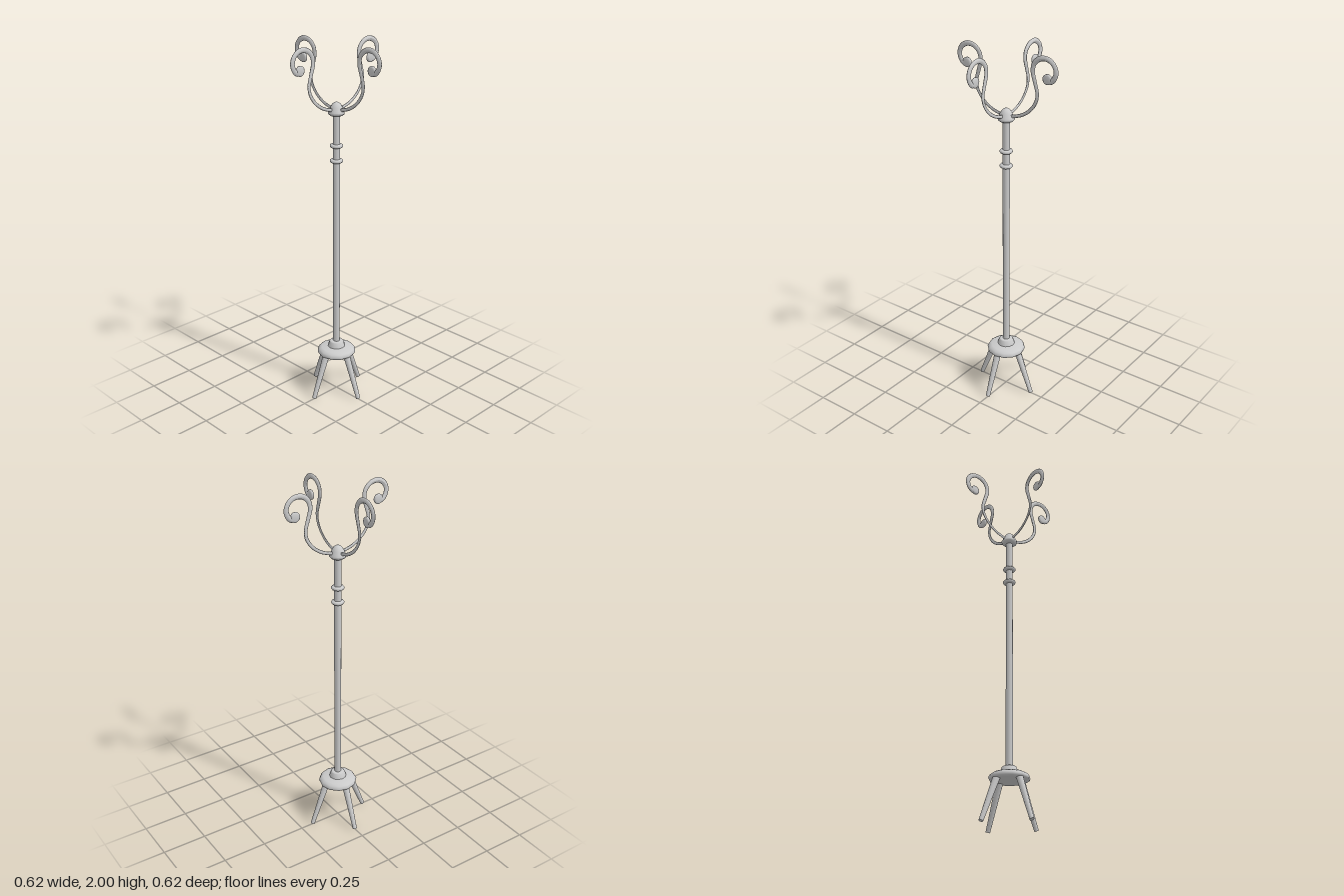
import * as THREE from 'three';

const material = new THREE.MeshStandardMaterial({ color: 0xcccccc });

function addMesh(parent, name, geometry) {
  const mesh = new THREE.Mesh(geometry, material);
  mesh.name = name;
  parent.add(mesh);
  return mesh;
}

// Turned part from [radius, height] pairs, listed bottom to top
const turned = (points, sides = 12) =>
  new THREE.LatheGeometry(points.map(([r, y]) => new THREE.Vector2(r, y)), sides);

// Centre line of one scrolled arm, from the finial out to the curl
const armCurve = new THREE.CatmullRomCurve3([
  [0.0, 1.645], [0.04, 1.654], [0.095, 1.672], [0.148, 1.709], [0.183, 1.76],
  [0.189, 1.804], [0.175, 1.857], [0.161, 1.91], [0.169, 1.951], [0.201, 1.98],
  [0.247, 1.985], [0.284, 1.962], [0.297, 1.926], [0.284, 1.89], [0.262, 1.875], [0.247, 1.882],
].map(([x, y]) => new THREE.Vector3(x, y, 0)));

// Sweep that is flattened sideways and grows thicker towards the curl
function armGeometry() {
  const steps = 72, sides = 8;
  const geometry = new THREE.TubeGeometry(armCurve, steps, 1, sides);
  const pos = geometry.attributes.position;
  const v = new THREE.Vector3();
  for (let i = 0; i <= steps; i++) {
    const t = i / steps;
    const grow = THREE.MathUtils.smoothstep(t, 0.2, 0.75);
    const inPlane = 0.009 + 0.005 * grow;
    const sideways = 0.004 + 0.004 * grow;
    const centre = armCurve.getPointAt(t);
    for (let j = 0; j <= sides; j++) {
      const k = i * (sides + 1) + j;
      v.fromBufferAttribute(pos, k).sub(centre);
      pos.setXYZ(k, centre.x + v.x * inPlane, centre.y + v.y * inPlane, v.z * sideways);
    }
  }
  geometry.computeVertexNormals();
  return geometry;
}

export function createModel() {
  const model = new THREE.Group();
  model.name = 'coatStand';

  // Base: flat underside, rounded dome and tapered collar
  addMesh(model, 'baseUnderside', turned([[0, 0.235], [0.09, 0.235]]));
  addMesh(model, 'baseDome', turned([
    [0.09, 0.235], [0.104, 0.239], [0.108, 0.25], [0.1, 0.264], [0.084, 0.273], [0.045, 0.278],
  ]));
  addMesh(model, 'baseCollar', turned([[0.049, 0.275], [0.046, 0.286], [0.039, 0.306], [0.034, 0.31], [0.015, 0.311]]));

  // Pole with two rings
  const pole = addMesh(model, 'pole', new THREE.CylinderGeometry(0.019, 0.019, 1.34, 12));
  pole.position.y = 0.97;
  for (const y of [1.375, 1.457]) {
    addMesh(model, 'poleRing', turned([
      [0.018, y - 0.01], [0.031, y - 0.008], [0.036, y], [0.031, y + 0.008], [0.018, y + 0.01],
    ]));
  }

  // Finial that holds the arms
  addMesh(model, 'finial', turned([
    [0, 1.62], [0.034, 1.621], [0.044, 1.63], [0.044, 1.639], [0.038, 1.648],
    [0.032, 1.665], [0.022, 1.681], [0.01, 1.689], [0, 1.692],
  ]));

  // Four splayed legs and four scrolled arms
  const arm = armGeometry();
  const curlEnd = turned([[0, -0.009], [0.019, -0.009], [0.0265, -0.004], [0.0265, 0.004], [0.019, 0.009], [0, 0.009]], 16);
  const foot = new THREE.Vector3(0.176, 0.005, 0);
  const hip = new THREE.Vector3(0.078, 0.25, 0);
  const axis = hip.clone().sub(foot);
  const leg = new THREE.CylinderGeometry(0.019, 0.012, axis.length(), 12);

  for (let i = 0; i < 4; i++) {
    const quarter = new THREE.Group();
    quarter.name = 'legAndArm';
    quarter.rotation.y = i * Math.PI / 2;
    model.add(quarter);

    const legMesh = addMesh(quarter, 'leg', leg);
    legMesh.position.copy(foot).add(hip).multiplyScalar(0.5);
    legMesh.quaternion.setFromUnitVectors(new THREE.Vector3(0, 1, 0), axis.clone().normalize());

    addMesh(quarter, 'arm', arm);
    const curl = addMesh(quarter, 'armCurlEnd', curlEnd);
    curl.position.set(0.248, 1.886, 0);
    curl.rotation.x = Math.PI / 2;
  }
  return model;
}
